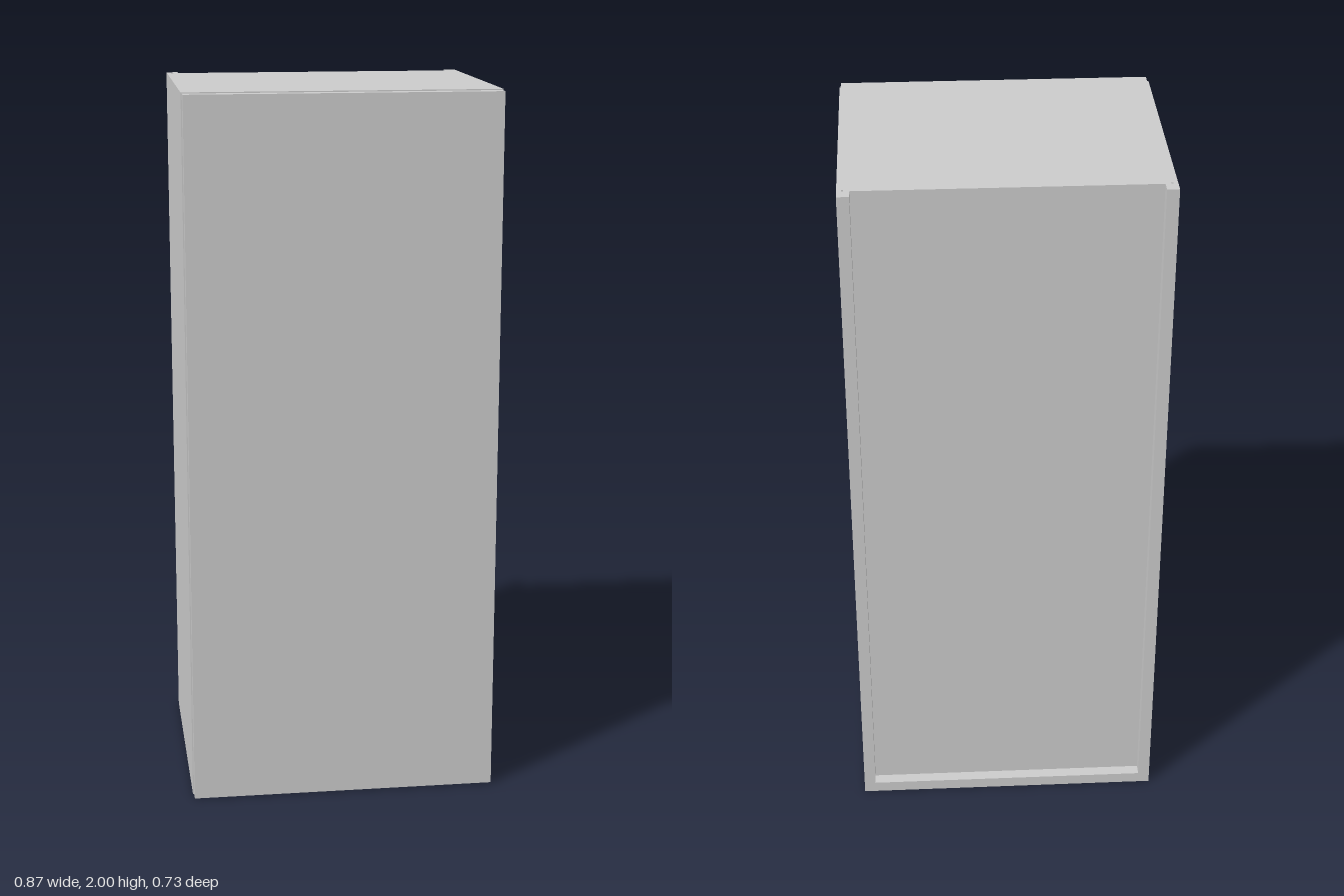
import * as THREE from 'three';

const W = 0.434, T = 0.033;          // half width, board thickness
const BACK = -0.367, FRONT = 0.33;   // depth range of the carcass
const G0 = -0.334, G1 = -0.326, GD = 0.021; // groove for the back panel

export function createModel() {
  const group = new THREE.Group();
  group.name = 'cabinet';
  const material = new THREE.MeshStandardMaterial({ color: 0xcccccc });

  const add = (name, geometry, x, y, z, turn = 0) => {
    const mesh = new THREE.Mesh(geometry, material);
    mesh.name = name;
    mesh.position.set(x, y, z);
    mesh.rotation.z = turn;
    group.add(mesh);
  };

  // Board with its outer face at x = 0 and a groove cut in its inner face
  const groovedBoard = (length) => {
    const outline = [
      [0, FRONT], [0, BACK], [-T, BACK], [-T, G0], [GD - T, G0],
      [GD - T, G1], [-T, G1], [-T, FRONT],
    ].map(([x, z]) => new THREE.Vector2(x, -z));
    const geometry = new THREE.ExtrudeGeometry(new THREE.Shape(outline), {
      depth: length, bevelEnabled: false,
    });
    return geometry.translate(0, 0, -length / 2).rotateX(-Math.PI / 2);
  };

  // Carcass: two sides and a bottom, grooved on the inside
  add('leftSide', groovedBoard(2), W, 1, 0);
  add('rightSide', groovedBoard(2), -W, 1, 0, Math.PI);
  add('bottom', groovedBoard(2 * (W - T)), 0, 0, 0, -Math.PI / 2);

  // Top stops in front of the back panel
  add('top', new THREE.BoxGeometry(2 * (W - T), T, FRONT - G1), 0, 2 - T / 2, (FRONT + G1) / 2);

  // Thin back panel sitting in the grooves
  const low = T - GD + 0.006;
  add('backPanel', new THREE.BoxGeometry(2 * (W - T + GD - 0.006), 2 - low, G1 - G0),
    0, (2 + low) / 2, (G0 + G1) / 2);

  // Door, slightly smaller than the carcass
  add('door', new THREE.BoxGeometry(2 * (W - 0.003), 1.994, 0.036), 0, 1, FRONT + 0.019);

  return group;
}
